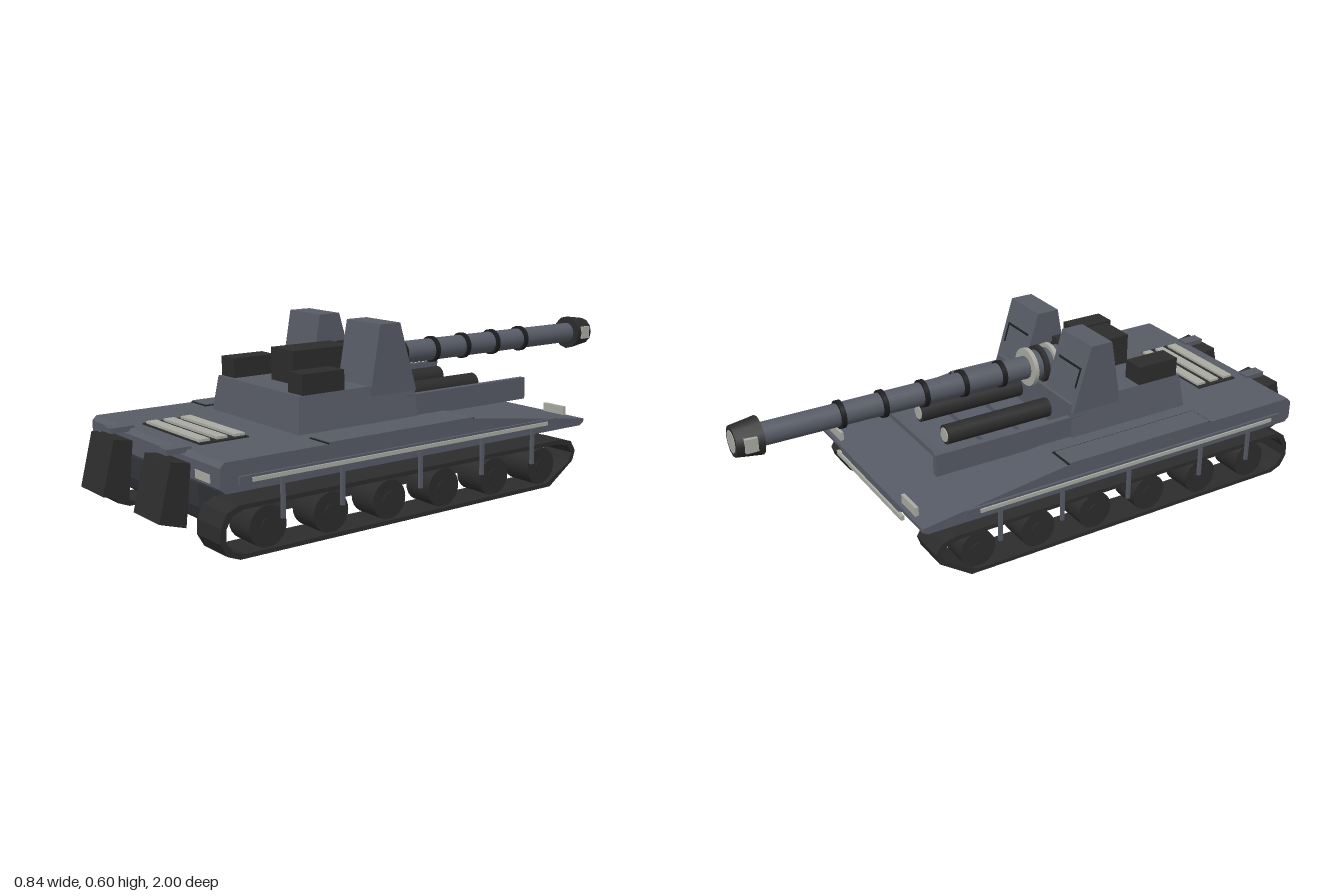
import * as THREE from 'three';

export function createModel() {
  const model = new THREE.Group();
  const mat = (name, color) => new THREE.MeshStandardMaterial({ name, color });
  const grey = mat('hull grey', 0x575b65);
  const under = mat('lower hull grey', 0x33353a);
  const dark = mat('dark rubber', 0x2c2c2c);
  const black = mat('seam black', 0x1c1d20);
  const pale = mat('pale metal', 0xa9aba3);

  function add(name, geometry, material, x = 0, y = 0, z = 0) {
    const mesh = new THREE.Mesh(geometry, material);
    mesh.name = name;
    mesh.position.set(x, y, z);
    model.add(mesh);
    return mesh;
  }
  // box given by its limits
  const box = (name, m, x0, x1, y0, y1, z0, z1) =>
    add(name, new THREE.BoxGeometry(Math.abs(x1 - x0), y1 - y0, z1 - z0), m, (x0 + x1) / 2, (y0 + y1) / 2, (z0 + z1) / 2);
  // [z, y] side profile extruded across x
  function prism(name, m, pts, x, width, hole) {
    const shape = new THREE.Shape(pts.map(p => new THREE.Vector2(...p)));
    if (hole) shape.holes.push(new THREE.Path(hole.map(p => new THREE.Vector2(...p))));
    const g = new THREE.ExtrudeGeometry(shape, { depth: width, bevelEnabled: false });
    g.rotateY(-Math.PI / 2);
    return add(name, g, m, x + width / 2);
  }
  // cylinder lying along z; r0 is the +z end
  const rod = (name, m, r0, r1, z0, z1, x, y, sides = 24) =>
    add(name, new THREE.CylinderGeometry(r0, r1, z1 - z0, sides).rotateX(Math.PI / 2), m, x, y, (z0 + z1) / 2);

  // hull
  prism('upperHull', grey, [[0.872, 0.615], [0.887, 0.6], [0.887, 0.54], [0.87, 0.525],
    [-0.555, 0.525], [-0.573, 0.535], [-0.573, 0.547], [-0.06, 0.615]], 0, 0.806);
  prism('lowerHull', under, [[0.88, 0.53], [0.88, 0.46], [0.865, 0.42], [0.84, 0.4],
    [-0.43, 0.4], [-0.53, 0.53]], 0, 0.54);

  // engine grille
  box('grilleFrame', dark, -0.18, 0.18, 0.612, 0.62, 0.655, 0.82);
  for (const z of [0.677, 0.737, 0.797]) box('grilleSlat', pale, -0.165, 0.165, 0.615, 0.628, z - 0.018, z + 0.018);

  // track belt outline, inner edge shrunk from the outer one
  const belt = [[0.83, 0.33], [0.87, 0.346], [0.892, 0.385], [0.89, 0.43], [0.87, 0.47], [0.83, 0.487],
    [-0.46, 0.487], [-0.51, 0.475], [-0.532, 0.44], [-0.52, 0.405], [-0.41, 0.33]];
  const inner = belt.map(([z, y]) => [0.18 + (z - 0.18) * 0.975, 0.408 + (y - 0.408) * 0.83]);

  for (const s of [1, -1]) {
    // running gear
    prism('track', dark, belt, s * 0.34, 0.13, inner);
    for (let i = 0; i < 6; i++) {
      const z = 0.727 - i * 0.221;
      add('roadWheel', new THREE.CylinderGeometry(0.063, 0.063, 0.11, 24).rotateZ(Math.PI / 2), dark, s * 0.335, 0.404, z);
      add('wheelHub', new THREE.CylinderGeometry(0.025, 0.025, 0.118, 16).rotateZ(Math.PI / 2), dark, s * 0.335, 0.404, z);
    }

    // side rail with pale strip and posts
    box('sideRail', grey, s * 0.4, s * 0.412, 0.545, 0.57, -0.43, 0.83);
    box('railStrip', pale, s * 0.411, s * 0.418, 0.551, 0.563, -0.38, 0.79);
    for (const z of [0.69, 0.48, 0.18, -0.08, -0.31])
      box('railPost', grey, s * 0.408, s * 0.418, 0.427, 0.55, z - 0.006, z + 0.006);

    // raised deck panel with a dark seam
    box('deckPanelSeam', black, s * 0.307, s * 0.402, 0.613, 0.618, -0.053, 0.523);
    box('deckPanel', grey, s * 0.313, s * 0.403, 0.613, 0.621, -0.047, 0.518);

    // lamps and front flaps
    box('headlamp', pale, s * 0.27, s * 0.35, 0.548, 0.573, 0.884, 0.89);
    box('rearLamp', pale, s * 0.235, s * 0.33, 0.545, 0.58, -0.56, -0.548);
    prism('frontFlap', dark, [[0.957, 0.6], [1, 0.428], [0.915, 0.402], [0.895, 0.588]], s * 0.179, 0.156);
    box('flapBracket', grey, s * 0.155, s * 0.2, 0.605, 0.622, 0.86, 0.94);

    // turret shield tower with rear seam
    prism('shieldTower', grey, [[0.21, 0.925], [0.245, 0.73], [0.24, 0.7], [0.062, 0.7], [0.13, 0.925]], s * 0.163, 0.175);
    const seam = (x0, x1, t0, t1) => {
      const slope = new THREE.Group();
      slope.name = 'towerSeam';
      slope.position.set(s * (x0 + x1) / 2, 0.7 + 0.225 * (t0 + t1) / 2, 0.062 + 0.068 * (t0 + t1) / 2);
      slope.rotation.x = Math.atan2(0.068, 0.225);
      slope.add(new THREE.Mesh(new THREE.BoxGeometry(x1 - x0, (t1 - t0) * 0.235, 0.005), black));
      model.add(slope);
    };
    seam(0.1, 0.23, 0.62, 0.65);
    seam(0.224, 0.23, 0.35, 0.65);

    // turret front boxes, rear rails and recoil tubes
    box('turretBox', dark, s * 0.157, s * 0.235, 0.725, 0.795, 0.34, 0.497);
    box('turretRail', grey, s * 0.222, s * 0.244, 0.61, 0.685, -0.44, 0.1);
    rod('recoilTube', dark, 0.033, 0.033, -0.33, 0.07, s * 0.093, 0.66);
    rod('tubeCap', pale, 0.024, 0.024, -0.334, -0.32, s * 0.093, 0.66);
    box('muzzlePort', pale, s * 0.045, s * 0.062, 0.757, 0.803, -0.975, -0.935);
  }
  box('rearBar', pale, -0.25, 0.25, 0.495, 0.51, -0.572, -0.56);
  box('rearBarMount', grey, -0.22, 0.22, 0.505, 0.53, -0.565, -0.545);
  for (const z of [-0.38, -0.2, -0.06]) box('railCrossbar', grey, -0.23, 0.23, 0.615, 0.632, z - 0.012, z + 0.012);

  // turret body: a box narrowed towards its top
  const body = new THREE.BoxGeometry(0.51, 0.12, 0.465).toNonIndexed();
  const p = body.attributes.position;
  for (let i = 0; i < p.count; i++) if (p.getY(i) > 0) {
    p.setX(i, p.getX(i) * 0.925);
    if (p.getZ(i) > 0) p.setZ(i, p.getZ(i) - 0.015);
  }
  body.computeVertexNormals();
  add('turretBody', body, grey, 0, 0.67, 0.2925);
  box('breechBox', dark, -0.063, 0.063, 0.725, 0.837, 0.18, 0.413);

  // gun barrel with collars
  rod('barrel', grey, 0.04, 0.037, -0.93, 0.2, 0, 0.778);
  for (let i = 0; i < 5; i++) rod('barrelBand', black, 0.046, 0.046, -0.078 - i * 0.145, -0.062 - i * 0.145, 0, 0.778);
  rod('barrelSleeve', grey, 0.052, 0.052, 0.05, 0.2, 0, 0.778);
  rod('mantletRing', dark, 0.066, 0.066, 0.165, 0.18, 0, 0.778);
  rod('mantletRing', dark, 0.066, 0.066, 0.075, 0.092, 0, 0.778);
  for (const z of [0.04, 0.125]) rod('paleCollar', pale, 0.066, 0.066, z - 0.008, z + 0.008, 0, 0.778);

  // muzzle
  rod('muzzle', dark, 0.062, 0.05, -0.998, -0.912, 0, 0.778, 12);
  rod('muzzleCap', pale, 0.036, 0.036, -1, -0.99, 0, 0.778);
  return model;
}
